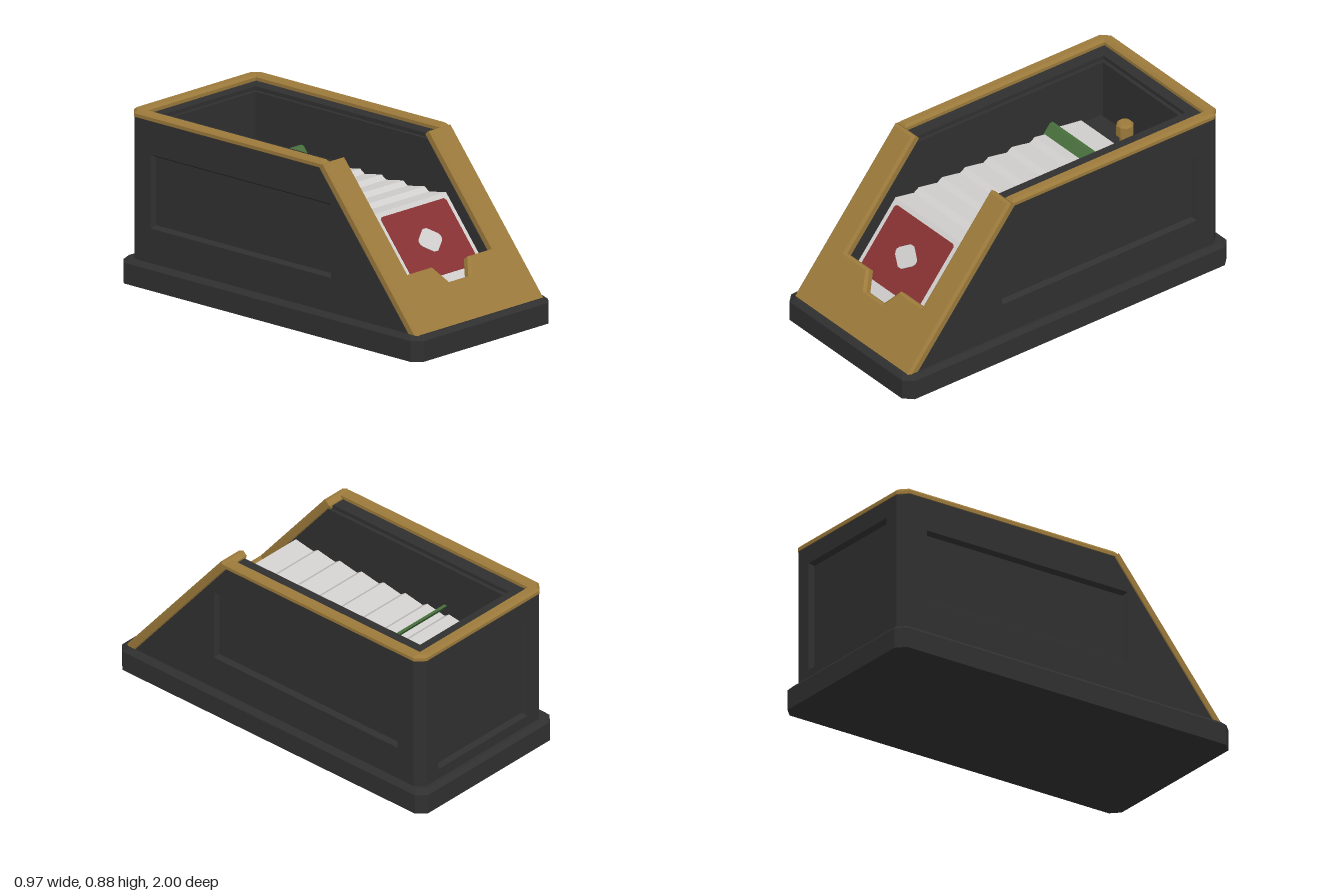
import * as THREE from 'three';

const material = (name, color) => Object.assign(new THREE.MeshStandardMaterial({ color }), { name });

// Slope of the front plate, measured in the z-y plane
const RUN = 0.62, RISE = 0.75, LEN = Math.hypot(RUN, RISE);
const TILT = Math.atan2(RUN, RISE);
const slopeZ = (y, back = 0) => 0.965 - back - (RUN / RISE) * (y - 0.125);
const along = (y) => (y - 0.125) * LEN / RISE; // height -> distance up the slope

function shapeOf(points, hole) {
  const s = new THREE.Shape(points.map(([x, y]) => new THREE.Vector2(x, y)));
  if (hole) s.holes.push(new THREE.Path(hole.map(([x, y]) => new THREE.Vector2(x, y))));
  return s;
}

const rect = (x0, x1, y0, y1) => [[x0, y0], [x1, y0], [x1, y1], [x0, y1]];

// Extrude a profile given as [z, y] pairs from x0 to x1
function sideways(profile, x0, x1, hole) {
  const flip = (pts) => pts && pts.map(([z, y]) => [-z, y]);
  return new THREE.ExtrudeGeometry(shapeOf(flip(profile), flip(hole)), { depth: x1 - x0, bevelEnabled: false })
    .rotateY(Math.PI / 2).translate(x0, 0, 0);
}

// Skin a list of equal-length loops and cap the last one; flat normals
function loft(loops) {
  const pos = [];
  const tri = (...pts) => pts.forEach((p) => pos.push(...p));
  const n = loops[0].length;
  for (let k = 0; k + 1 < loops.length; k++) {
    const a = loops[k], b = loops[k + 1];
    for (let i = 0; i < n; i++) {
      const j = (i + 1) % n;
      tri(a[i], a[j], b[j]);
      tri(a[i], b[j], b[i]);
    }
  }
  const cap = loops[loops.length - 1];
  for (let i = 1; i + 1 < n; i++) tri(cap[0], cap[i], cap[i + 1]);
  const g = new THREE.BufferGeometry();
  g.setAttribute('position', new THREE.Float32BufferAttribute(pos, 3));
  g.computeVertexNormals();
  return g;
}

// Sunken rectangular panel facing +z
function recess(w, h) {
  const loop = (inset, z) => rect(-w / 2 + inset, w / 2 - inset, -h / 2 + inset, h / 2 - inset).map(([x, y]) => [x, y, z]);
  return loft([loop(0, 0), loop(0.015, -0.024)]);
}

// Put a flat shape drawn as [x, distance up slope] onto the slope
const onSlope = (geometry, back) => geometry.rotateX(-TILT).translate(0, 0.125, 0.965 - back);

export function createModel() {
  const dark = material('black lacquer', 0x303030);
  const brass = material('brass', 0x9c7a3b);
  const white = material('card white', 0xd2d0ce);
  const red = material('card red', 0x883233);
  const green = material('cut card green', 0x48703c);

  const model = new THREE.Group();
  model.name = 'cardShoe';
  const add = (name, geometry, mat, parent = model) => {
    const mesh = new THREE.Mesh(geometry, mat);
    mesh.name = name;
    parent.add(mesh);
    return mesh;
  };

  // Base plinth with cut corners and a chamfered top
  const plinth = (w, d, c, y) => [
    [w, d - c], [w, -d + c], [w - c, -d], [-w + c, -d], [-w, -d + c], [-w, d - c], [-w + c, d], [w - c, d],
  ].map(([x, z]) => [x, y, z]);
  add('base', loft([
    plinth(0, 0, 0, 0), plinth(0.485, 1, 0.045, 0), plinth(0.485, 1, 0.045, 0.105), plinth(0.465, 0.98, 0.045, 0.125),
  ]), dark);

  // Side walls: inner liner, core and a framed outer skin
  const body = new THREE.Group();
  body.name = 'body';
  model.add(body);
  const wall = (zBack, top) => [
    [zBack, 0.125], [slopeZ(0.125, 0.062), 0.125], [slopeZ(top, 0.062), top], [zBack, top],
  ];
  const panel = rect(-0.81, 0.39, 0.30, 0.675);
  for (const s of [1, -1]) {
    const span = (a, b) => (s > 0 ? [a, b] : [-b, -a]);
    add('wallLiner', sideways(wall(-0.84, 0.825), ...span(0.30, 0.32)), dark, body);
    add('wallCore', sideways(wall(-0.93, 0.845), ...span(0.32, 0.42)), dark, body);
    add('wallSkin', sideways(wall(-0.915, 0.845), ...span(0.42, 0.45), panel), dark, body);
    const sunk = add('sidePanel', recess(1.2, 0.375), dark, body);
    sunk.rotation.y = s * Math.PI / 2;
    sunk.position.set(s * 0.45, 0.4875, -0.21);
    // Chamfered rear corner
    const corner = shapeOf([[s * 0.45, 0.915], [s * 0.405, 0.96], [s * 0.405, 0.915]]);
    add('rearCorner', new THREE.ExtrudeGeometry(corner, { depth: 0.72, bevelEnabled: false })
      .rotateX(-Math.PI / 2).translate(0, 0.125, 0), dark, body);
  }

  // Back wall
  add('backLiner', new THREE.BoxGeometry(0.6, 0.7, 0.02).translate(0, 0.475, -0.83), dark, body);
  add('backCore', new THREE.BoxGeometry(0.64, 0.72, 0.09).translate(0, 0.485, -0.885), dark, body);
  add('backSkin', new THREE.ExtrudeGeometry(
    shapeOf(rect(-0.405, 0.405, 0.125, 0.845), rect(-0.32, 0.32, 0.18, 0.75)),
    { depth: 0.03, bevelEnabled: false }).translate(0, 0, -0.96), dark, body);
  const backPanel = add('backPanel', recess(0.64, 0.57), dark, body);
  backPanel.rotation.y = Math.PI;
  backPanel.position.set(0, 0.465, -0.96);

  // Brass rim running round the top of the walls
  const bevel = { bevelEnabled: true, bevelSegments: 1, bevelSize: 0.013, bevelThickness: 0.013, bevelOffset: -0.013 };
  const rim = shapeOf([
    [0.452, -0.325], [0.452, 0.917], [0.407, 0.962], [-0.407, 0.962], [-0.452, 0.917], [-0.452, -0.325],
    [-0.39, -0.325], [-0.39, 0.90], [0.39, 0.90], [0.39, -0.325],
  ]);
  add('rim', new THREE.ExtrudeGeometry(rim, { ...bevel, depth: 0.017 })
    .rotateX(-Math.PI / 2).translate(0, 0.845, 0), brass);

  // Sloping brass front plate with the dealing notch
  const half = [[0.452, 0.115], [0.452, 0.875], [0.298, 0.875], [0.298, 0.366], [0.125, 0.366], [0.068, 0.292]]
    .map(([x, y]) => [x, along(y)]);
  const plate = shapeOf([...half, ...half.map(([x, y]) => [-x, y]).reverse()]);
  add('frontPlate', onSlope(new THREE.ExtrudeGeometry(plate, { ...bevel, depth: 0.029 })
    .translate(0, 0, -0.042), 0), brass);

  // Stack of cards with stepped tops, leaning parallel to the plate
  const steps = 8, pitch = 0.143, top = 0.60, bottom = 0.13;
  const stack = [[slopeZ(bottom, 0.08), bottom]];
  const z0 = slopeZ(top, 0.08);
  for (let i = 0; i < steps; i++) {
    stack.push([z0 - i * pitch, top]);
    stack.push([z0 - (i + 1) * pitch + (i < steps - 1 ? 0.03 : 0), top - 0.02]);
  }
  stack.push([-0.28, bottom]);
  add('cardStack', sideways(stack, -0.255, 0.255), white);

  // Back of the foremost card
  const c = 0.012, yLow = along(0.297), yHigh = along(0.58);
  const cardBack = shapeOf([
    [-0.23 + c, yLow], [0.23 - c, yLow], [0.23, yLow + c], [0.23, yHigh - c],
    [0.23 - c, yHigh], [-0.23 + c, yHigh], [-0.23, yHigh - c], [-0.23, yLow + c],
  ]);
  const thin = { depth: 0.003, bevelEnabled: false };
  add('cardBack', onSlope(new THREE.ExtrudeGeometry(cardBack, thin), 0.08), red);
  const quarter = [[0.076, -0.008], [0.076, 0.008], [0.066, 0.022], [0.013, 0.063]];
  const diamond = shapeOf([...quarter, [-0.013, 0.063], [-0.066, 0.022], [-0.076, 0.008], [-0.076, -0.008],
    [-0.066, -0.022], [-0.013, -0.063], [0.013, -0.063], [0.066, -0.022]]);
  add('cardDiamond', onSlope(new THREE.ExtrudeGeometry(diamond, thin)
    .translate(0, along(0.44), 0.003), 0.08), white);

  // Green cut card standing proud of the stack
  const cut = (y, back) => [slopeZ(y, 1.01 + back), y];
  add('cutCard', sideways([cut(bottom, 0), cut(0.635, 0), cut(0.635, 0.018), cut(bottom, 0.018)], -0.265, 0.265), green);

  // Weighted pusher behind the cards, with its knob
  add('pusher', sideways([[-0.8, bottom], [-0.3, bottom], [-0.665, 0.57], [-0.765, 0.57], [-0.8, 0.54]], -0.245, 0.245), dark);
  const knob = new THREE.Group();
  knob.name = 'knob';
  knob.position.set(0, 0.57, -0.72);
  model.add(knob);
  const turned = (r0, r1, y0, y1) => {
    const g = new THREE.CylinderGeometry(r1, r0, y1 - y0, 8).rotateY(Math.PI / 8).translate(0, (y0 + y1) / 2, 0).toNonIndexed();
    g.computeVertexNormals();
    return g;
  };
  add('knobStem', turned(0.026, 0.026, 0, 0.035), brass, knob);
  add('knobHead', turned(0.044, 0.044, 0.035, 0.092), brass, knob);
  add('knobCap', turned(0.044, 0.033, 0.092, 0.104), brass, knob);

  return model;
}
